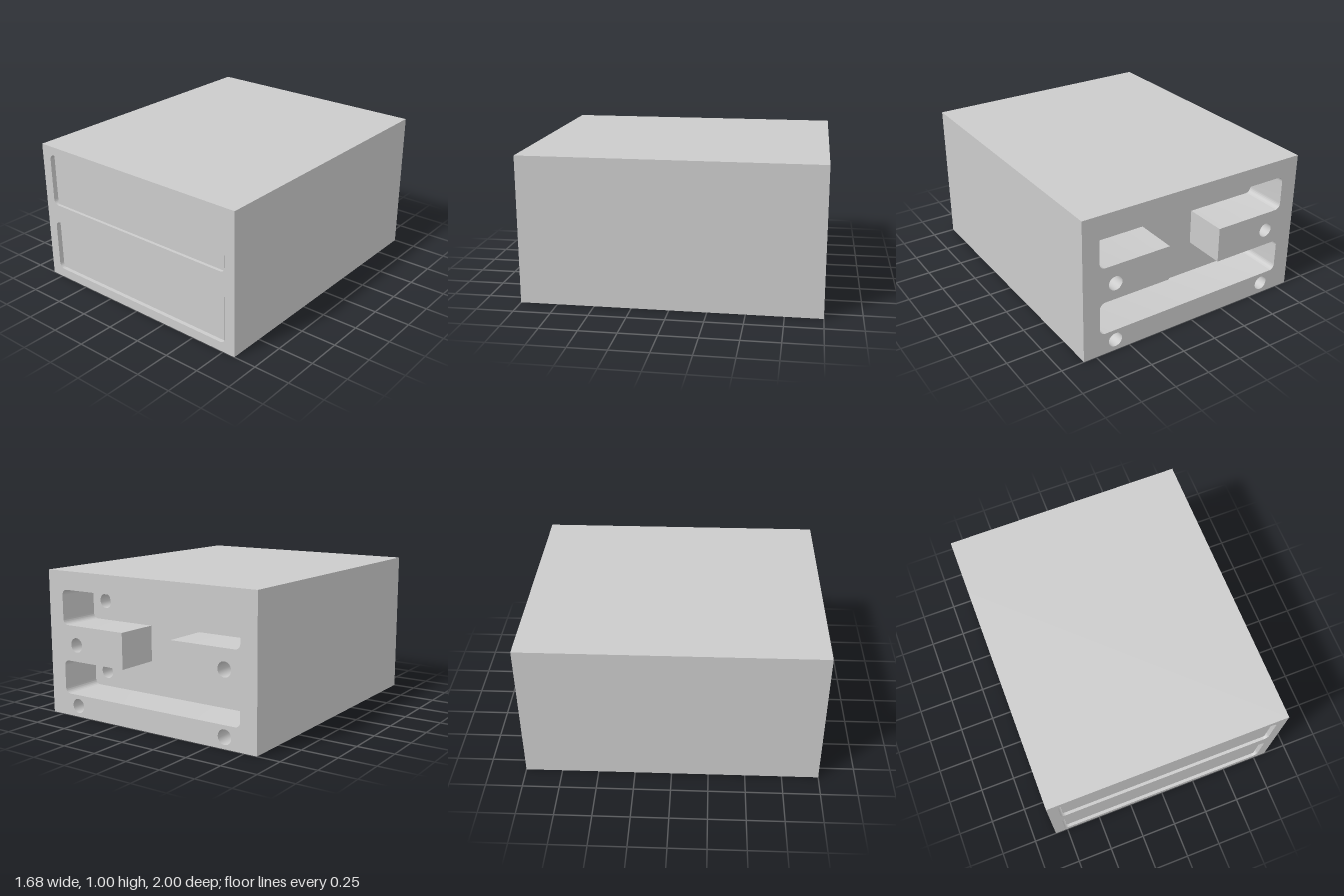
import * as THREE from 'three';
import { toCreasedNormals } from 'three/addons/utils/BufferGeometryUtils.js';

const HALF_WIDTH = 0.84, HEIGHT = 1;
const DRAWER_BAYS = [{ y0: 0.065, y1: 0.435 }, { y0: 0.568, y1: 0.94 }];
const HOLE_X = 0.605, HOLE_RADIUS = 0.05;

function rectangle() {
  const s = new THREE.Shape();
  s.moveTo(-HALF_WIDTH, 0);
  s.lineTo(HALF_WIDTH, 0);
  s.lineTo(HALF_WIDTH, HEIGHT);
  s.lineTo(-HALF_WIDTH, HEIGHT);
  s.closePath();
  return s;
}

function roundedHole(w, y0, y1, r) {
  const p = new THREE.Path(), q = Math.PI / 2;
  p.absarc(-w + r, y0 + r, r, 2 * q, 3 * q);
  p.absarc(w - r, y0 + r, r, 3 * q, 4 * q);
  p.absarc(w - r, y1 - r, r, 0, q);
  p.absarc(-w + r, y1 - r, r, q, 2 * q);
  p.closePath();
  return p;
}

function roundHole(x, y) {
  return new THREE.Path().absarc(x, y, HOLE_RADIUS, 0, Math.PI * 2);
}

// Two wide slots joined by a central gap, leaving a block at each side
function connectorOpening() {
  const p = new THREE.Path(), q = Math.PI / 2;
  const w = 0.72, r = 0.04, gap = 0.2;
  const low = [0.153, 0.386], high = [0.632, 0.873];
  p.absarc(-w + r, low[0] + r, r, 2 * q, 3 * q);
  p.absarc(w - r, low[0] + r, r, 3 * q, 4 * q);
  p.absarc(w - r, low[1] - r, r, 0, q);
  p.lineTo(gap, low[1]);
  p.lineTo(gap, high[0]);
  p.absarc(w - r, high[0] + r, r, -q, 0);
  p.absarc(w - r, high[1] - r, r, 0, q);
  p.absarc(-w + r, high[1] - r, r, q, 2 * q);
  p.absarc(-w + r, high[0] + r, r, 2 * q, 3 * q);
  p.lineTo(-gap, high[0]);
  p.lineTo(-gap, low[1]);
  p.absarc(-w + r, low[1] - r, r, q, 2 * q);
  p.closePath();
  return p;
}

export function createModel() {
  const group = new THREE.Group();
  const material = new THREE.MeshStandardMaterial({ color: 0xcccccc });

  function add(name, geometry) {
    const mesh = new THREE.Mesh(geometry, material);
    mesh.name = name;
    group.add(mesh);
    return mesh;
  }

  // A slice of the casing between two depths, pierced by the given holes
  function slice(name, z0, z1, holes) {
    const shape = rectangle();
    shape.holes.push(...holes);
    const geometry = new THREE.ExtrudeGeometry(shape, {
      depth: z1 - z0, bevelEnabled: false, curveSegments: 12,
    });
    geometry.translate(0, 0, z0);
    add(name, toCreasedNormals(geometry, Math.PI / 5));
  }

  const sides = [-1, 1];

  // Casing with two drawer bays open at the front
  slice('casing', -0.6, 1, DRAWER_BAYS.map((b) => roundedHole(0.766, b.y0, b.y1, 0.04)));

  // Bulkhead behind the bays, with a pair of holes per drawer
  slice('bulkhead', -0.7, -0.6, DRAWER_BAYS.flatMap((b) =>
    sides.map((s) => roundHole(s * HOLE_X, (b.y0 + b.y1) / 2 + 0.01))));

  // Rear wall with the connector opening and four screw holes
  slice('rearWall', -1, -0.7, [
    connectorOpening(),
    ...sides.flatMap((s) => [0.077, 0.5].map((y) => roundHole(s * HOLE_X, y))),
  ]);

  // Drawers, set slightly back from the front face
  const drawerSpans = [['lowerDrawer', 0.072, 0.434], ['upperDrawer', 0.569, 0.933]];
  for (const [name, y0, y1] of drawerSpans) {
    const drawer = add(name, new THREE.BoxGeometry(1.494, y1 - y0, 1.48));
    drawer.position.set(0, (y0 + y1) / 2, 0.98 - 0.74);
  }

  return group;
}
